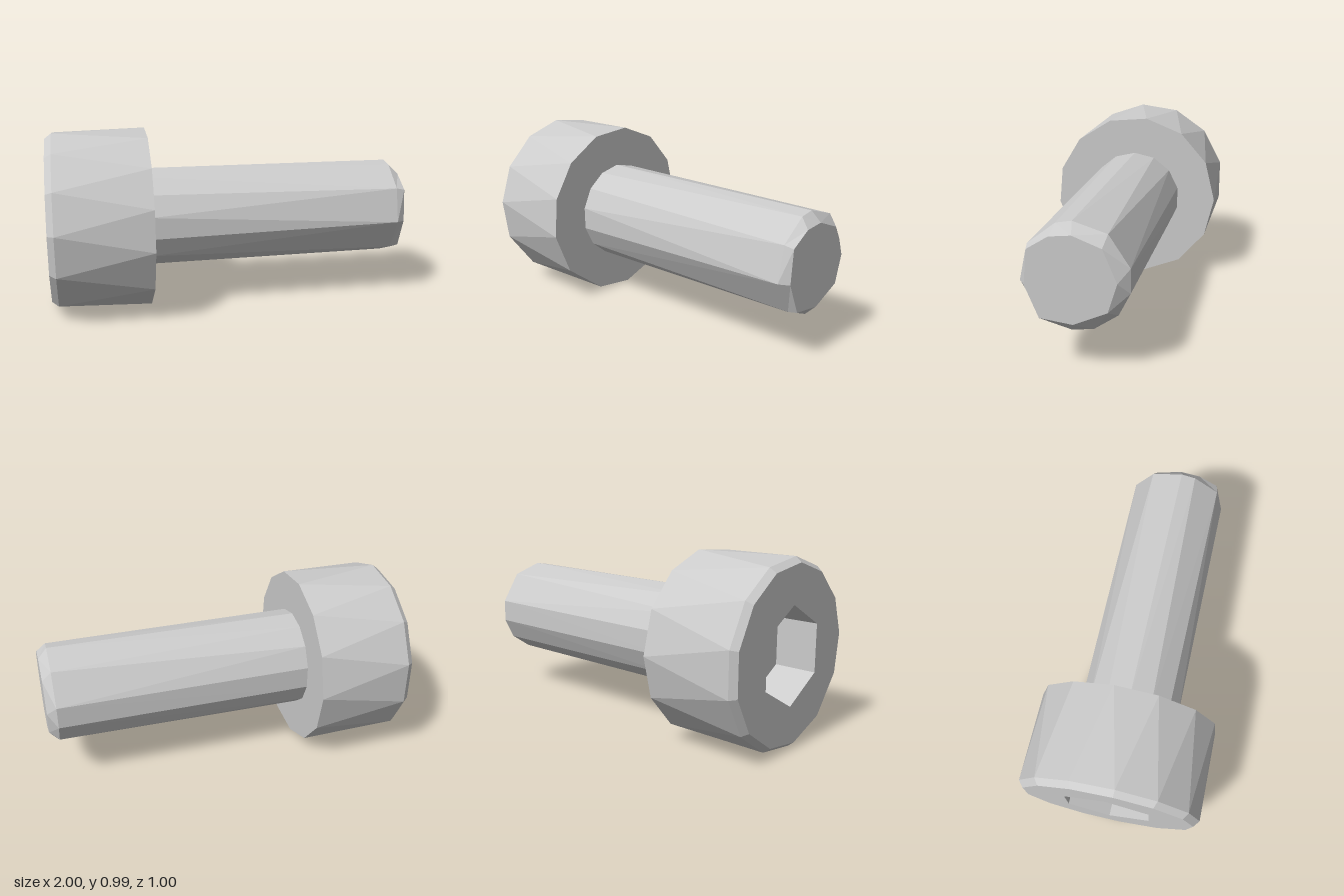
import * as THREE from 'three';

const AXIS_Y = 0.5;
const TAU = Math.PI * 2;

// A ring of points around the screw axis: position x, radius (or list of radii), angles in degrees from +z towards +y
function ring(x, radius, degrees) {
  return degrees.map((d, i) => ({
    a: THREE.MathUtils.degToRad(d),
    r: Array.isArray(radius) ? radius[i] : radius,
    x,
  }));
}

const even = (n, start = 0) => Array.from({ length: n }, (_, i) => start + (i * 360) / n);
const point = (p) => new THREE.Vector3(p.x, AXIS_Y + p.r * Math.sin(p.a), p.r * Math.cos(p.a));

// i-th point of a ring, wrapping round with the angle still rising
function at(r, i) {
  const p = r[i % r.length];
  return { ...p, a: p.a + TAU * Math.floor(i / r.length) };
}

// Zip two rings with different corner counts into a triangle band
function stitch(A, B, out) {
  const add = (p, q, r) => {
    const t = [p, q, r].map(point);
    if (new THREE.Triangle(...t).getArea() > 1e-8) t.forEach((v) => out.push(v));
  };
  let i = 0, j = 0;
  while (i < A.length || j < B.length) {
    const a = at(A, i), b = at(B, j), an = at(A, i + 1), bn = at(B, j + 1);
    if (j >= B.length || (i < A.length && an.a + a.a <= bn.a + b.a)) {
      add(b, a, an);
      i++;
    } else {
      add(b, a, bn);
      j++;
    }
  }
}

// Faceted mesh running through a list of rings
function loft(name, rings) {
  const verts = [];
  for (let k = 0; k + 1 < rings.length; k++) stitch(rings[k], rings[k + 1], verts);
  const geometry = new THREE.BufferGeometry().setFromPoints(verts);
  geometry.computeVertexNormals();
  const mesh = new THREE.Mesh(geometry, new THREE.MeshStandardMaterial({ color: 0xcccccc, flatShading: true }));
  mesh.name = name;
  return mesh;
}

export function createModel() {
  const group = new THREE.Group();
  group.name = 'socketHeadScrew';

  // Uneven facets of the head; the outer end is turned by half a facet
  const headAngles = [18, 44, 71, 98, 125, 152, 180, 207, 235, 262, 289, 323, 352];
  const outerAngles = [5, 31, 58, 84, 111, 138, 166, 194, 221, 249, 276, 306, 338];
  const hexAngles = even(6, 30);

  const root = ring(-0.455, 0.277, even(14, 12));
  const hexRim = ring(-1, 0.262, hexAngles);
  const hexFloor = ring(-0.764, 0.262, hexAngles);

  // Shank with chamfered tip
  const tip = ring(1, [0.26, 0.235, 0.22, 0.22, 0.215, 0.225, 0.225, 0.265, 0.24],
    [32, 62, 90, 131, 180, 221, 270, 309, 350]);
  const shankEnd = ring(0.95, 0.275, [33, 71, 88, 126, 167, 193, 220, 251, 274, 309, 352]);
  group.add(loft('shank', [ring(1, 0, even(3)), tip, shankEnd, root]));

  // Head: underside, side wall, bevel and outer face around the socket
  group.add(loft('head', [
    root,
    ring(-0.455, 0.5, headAngles),
    ring(-0.965, 0.498, outerAngles),
    ring(-1, 0.47, outerAngles),
    hexRim,
  ]));

  // Hexagonal socket recess
  group.add(loft('hexSocket', [hexRim, hexFloor, ring(-0.764, 0, even(3))]));

  return group;
}
